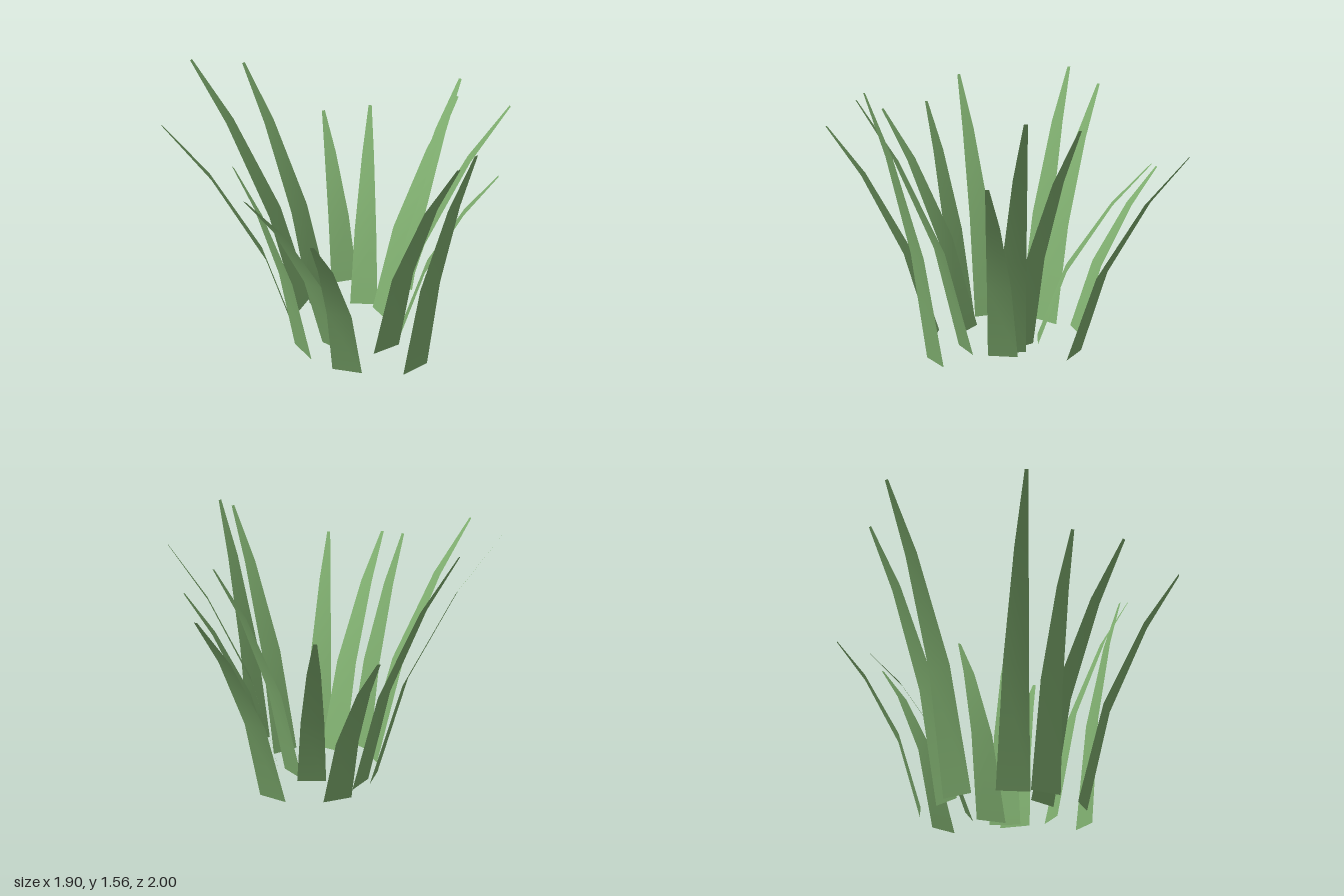
import * as THREE from 'three';

// One blade per row: root x, root z, tip x, tip z, height
const BLADES = [
  [-0.025, -0.365, -0.14, -1.0, 1.24],
  [0.09, -0.055, 0.195, -0.56, 1.365],
  [0.195, -0.07, 0.58, -0.535, 1.44],
  [0.265, -0.07, 0.67, -0.36, 1.11],
  [0.345, 0.155, 0.925, 0.315, 1.515],
  [0.582, 0.16, 0.945, 0.22, 1.56],
  [0.317, 0.452, 0.66, 0.975, 1.28],
  [0.115, 0.367, 0.22, 0.998, 1.335],
  [0.013, 0.522, -0.03, 0.87, 1.37],
  [-0.135, 0.445, -0.435, 0.995, 1.5],
  [-0.32, 0.22, -0.945, 0.455, 1.55],
  [-0.308, 0.102, -0.87, 0.145, 1.465],
  [-0.322, -0.135, -0.77, -0.39, 1.01],
  [-0.058, -0.055, -0.49, -0.54, 1.09],
];

// Shared blade profile: height fraction, outward fraction, width
const PROFILE = [
  [0, 0, 0.175],
  [0.42, 0.26, 0.135],
  [0.78, 0.66, 0.075],
  [1, 1, 0.02],
];

// Tapering strip that bends outward from root to tip
function bladeGeometry([x0, z0, x1, z1, height]) {
  const dx = x1 - x0, dz = z1 - z0, len = Math.hypot(dx, dz);
  const sideX = -dz / len, sideZ = dx / len;
  const positions = [], index = [];
  PROFILE.forEach(([up, out, width], i) => {
    for (const s of [-0.5, 0.5]) {
      positions.push(x0 + dx * out + sideX * width * s, height * up, z0 + dz * out + sideZ * width * s);
    }
    if (i > 0) {
      const a = (i - 1) * 2;
      index.push(a, a + 1, a + 3, a, a + 3, a + 2);
    }
  });
  const geometry = new THREE.BufferGeometry();
  geometry.setAttribute('position', new THREE.Float32BufferAttribute(positions, 3));
  geometry.setIndex(index);
  geometry.computeVertexNormals();
  return geometry;
}

export function createModel() {
  const group = new THREE.Group();
  group.name = 'grassTuft';
  const green = new THREE.MeshStandardMaterial({ color: 0x7fae6f, side: THREE.DoubleSide });
  green.name = 'grassGreen';

  BLADES.forEach((blade, i) => {
    const mesh = new THREE.Mesh(bladeGeometry(blade), green);
    mesh.name = `grassBlade${i + 1}`;
    group.add(mesh);
  });
  return group;
}
